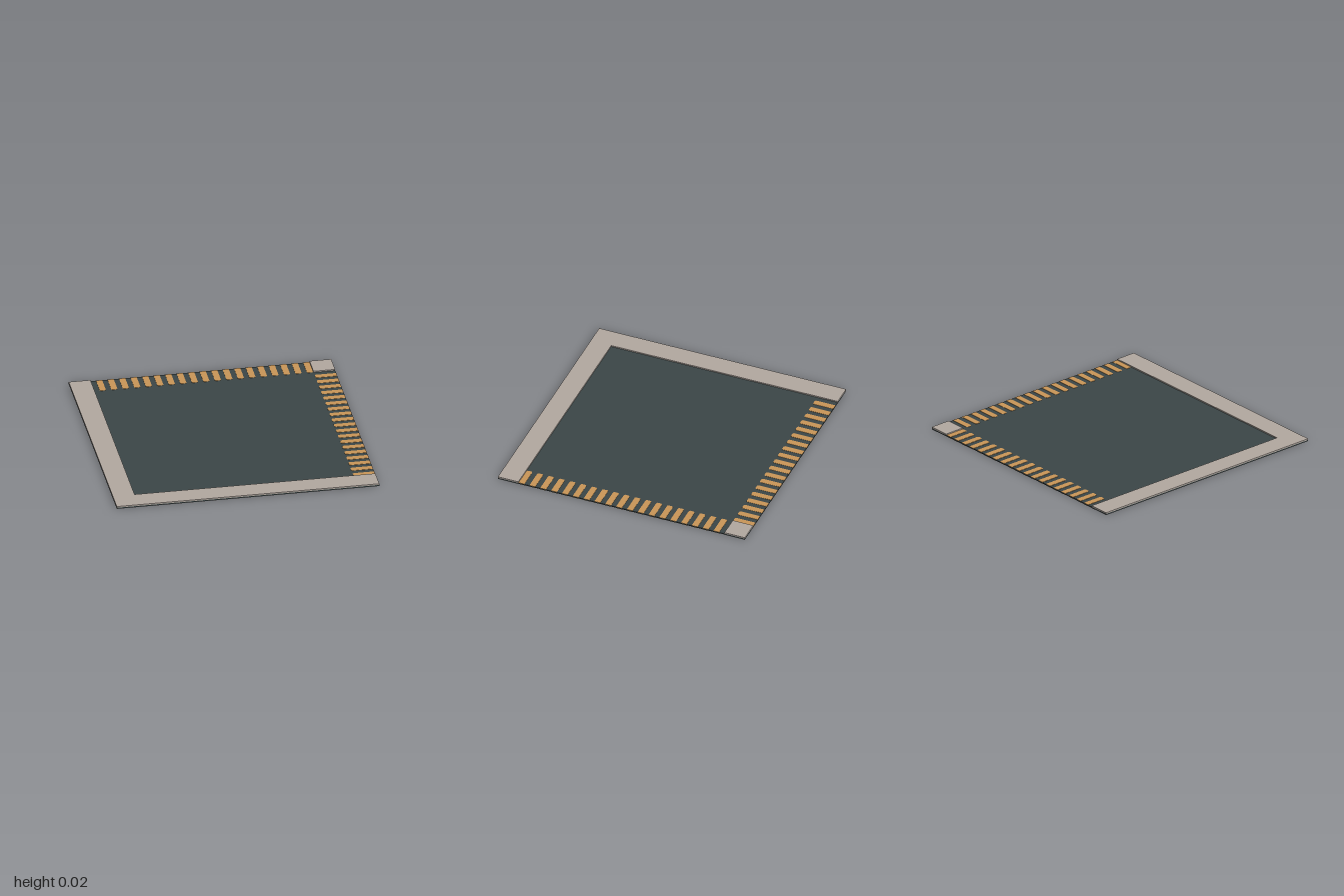
import * as THREE from 'three';

const asphalt = new THREE.MeshStandardMaterial({ name: 'asphalt', color: 0x3b4647 });
const paving = new THREE.MeshStandardMaterial({ name: 'paving', color: 0xb2a8a0 });
const paint = new THREE.MeshStandardMaterial({ name: 'crossingPaint', color: 0xca9657 });

const KERB = 0.835; // inner edge of the pavement
const ROAD_BOTTOM = 0.002, ROAD_TOP = 0.01, TOP = 0.02;

// Box given by its limits on each axis
function slab(name, material, [x0, x1], [y0, y1], [z0, z1]) {
  const geometry = new THREE.BoxGeometry(x1 - x0, y1 - y0, z1 - z0);
  const mesh = new THREE.Mesh(geometry, material);
  mesh.position.set((x0 + x1) / 2, (y0 + y1) / 2, (z0 + z1) / 2);
  mesh.name = name;
  return mesh;
}

// Painted bar running outwards along +x, with its inner corners clipped
function barGeometry() {
  const h = 0.0235, c = 0.008;
  const shape = new THREE.Shape([
    [KERB, -h + c], [KERB + c, -h], [1, -h], [1, h], [KERB + c, h], [KERB, h - c],
  ].map(([x, y]) => new THREE.Vector2(x, y)));
  return new THREE.ExtrudeGeometry(shape, { depth: 0.002, bevelEnabled: false }).rotateX(-Math.PI / 2);
}

export function createModel() {
  const model = new THREE.Group();
  model.name = 'roadCornerTile';

  model.add(slab('road', asphalt, [-1, 1], [ROAD_BOTTOM, ROAD_TOP], [-1, 1]));

  // Raised pavement, with matching thin plates underneath
  const areas = [
    ['leftPavement', [-1, -KERB], [-1, 1]],
    ['frontPavement', [-KERB, 1], [KERB, 1]],
    ['cornerPavement', [KERB, 1], [-1, -KERB]],
  ];
  for (const [name, x, z] of areas) {
    model.add(slab(name, paving, x, [ROAD_TOP, TOP], z));
    model.add(slab(name + 'Base', paving, x, [0, ROAD_BOTTOM], z));
  }

  // Crossing bars along the two open edges, on both faces of the road
  const bar = barGeometry();
  for (const [name, turn] of [['sideCrossing', 0], ['backCrossing', Math.PI / 2]]) {
    const crossing = new THREE.Group();
    crossing.name = name;
    for (let i = 0; i < 19; i++) {
      const along = -0.769 + i * 0.0877;
      for (const y of [0, ROAD_TOP]) {
        const mesh = new THREE.Mesh(bar, paint);
        mesh.name = 'crossingBar';
        mesh.position.set(0, y, along);
        crossing.add(mesh);
      }
    }
    crossing.rotation.y = turn;
    model.add(crossing);
  }
  return model;
}
